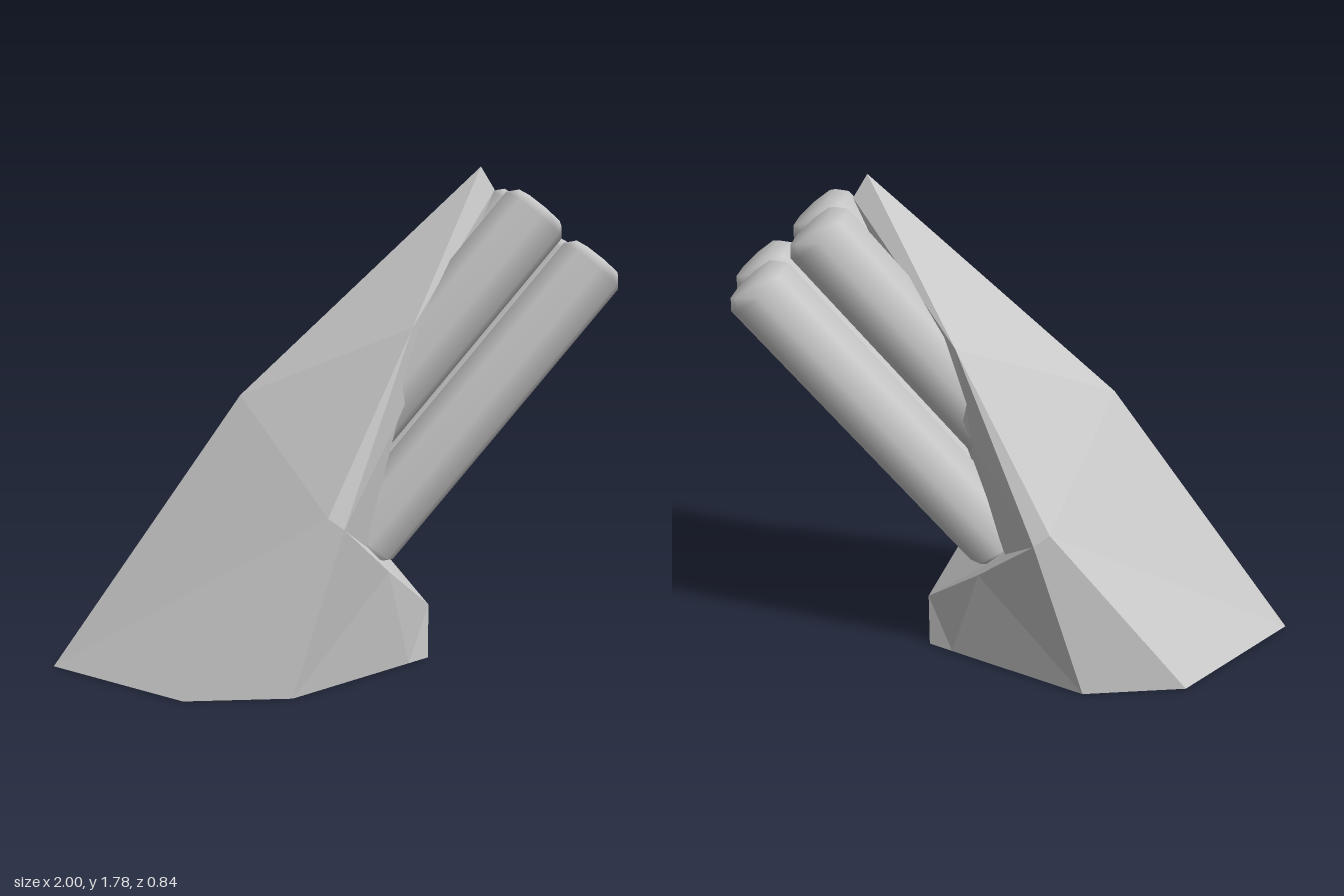
import * as THREE from 'three';

// Corners of the faceted housing on its +z half (z = 0 lies on the mirror plane)
const P = {
  tail: [-1, 0, 0], baseBack: [-0.53, 0, 0.42], baseFront: [-0.16, 0, 0.42],
  baseSplit: [0.28, 0, 0.065], nose: [0.36, 0, 0], noseTop: [0.36, 0.2, 0],
  floorEdge: [0.19, 0.38, 0.21], shoulder: [-0.04, 0.62, 0.42], lip: [0.015, 0.58, 0.42],
  ridge: [-0.32, 0.98, 0], brow: [0.26, 1.24, 0.255], peak: [0.53, 1.78, 0],
  peakFront: [0.58, 1.7, 0], wallFoot: [0.1, 0.49, 0.28], wallFootMid: [0.1, 0.49, 0],
  wallSide: [0.21, 0.92, 0.26], wallMid: [0.245, 0.9, 0],
};

// Faces of the +z half, counter-clockwise from outside
const FACES = [
  'tail baseBack shoulder ridge',
  'ridge shoulder brow peak',
  'baseBack baseFront lip shoulder',
  'baseFront baseSplit floorEdge lip',
  'baseSplit nose noseTop floorEdge',
  'tail nose baseSplit baseFront baseBack',
  'wallFoot lip floorEdge noseTop wallFootMid',
  'shoulder lip brow',
  'brow peakFront peak',
  'lip wallFoot wallSide brow',
  'wallFoot wallFootMid wallMid wallSide',
  'wallSide wallMid peakFront brow',
];

function housingGeometry() {
  const pos = [];
  for (const face of FACES) {
    const pts = face.split(' ').map((n) => P[n]);
    for (let i = 1; i < pts.length - 1; i++) {
      const [a, b, c] = [pts[0], pts[i], pts[i + 1]];
      pos.push(...a, ...b, ...c);
      // mirrored copy with reversed winding
      for (const [x, y, z] of [a, c, b]) pos.push(x, y, -z);
    }
  }
  const g = new THREE.BufferGeometry();
  g.setAttribute('position', new THREE.Float32BufferAttribute(pos, 3));
  g.computeVertexNormals();
  return g;
}

// Eight-sided smooth tube with bevelled ends, from y = 0 to y = length
function tubeGeometry(length, r = 0.127, capR = 0.097, bevel = 0.035) {
  const profile = [
    [0, 0], [capR, 0], [r, bevel],
    [r, length - bevel], [capR, length], [0, length],
  ].map(([x, y]) => new THREE.Vector2(x, y));
  return new THREE.LatheGeometry(profile, 8);
}

export function createModel() {
  const model = new THREE.Group();
  const grey = new THREE.MeshStandardMaterial({ color: 0xcccccc });
  const flatGrey = new THREE.MeshStandardMaterial({ color: 0xcccccc, flatShading: true });

  const housing = new THREE.Mesh(housingGeometry(), flatGrey);
  housing.name = 'housing';
  model.add(housing);

  // Two pairs of tilted tubes, set in the recess
  const length = 1.3, tilt = 0.69;
  const geometry = tubeGeometry(length);
  const rows = [['upperTube', 0.715, 1.64], ['lowerTube', 0.92, 1.465]];
  for (const [name, topX, topY] of rows) {
    for (const side of [1, -1]) {
      const tube = new THREE.Mesh(geometry, grey);
      tube.name = name + (side > 0 ? 'Front' : 'Back');
      tube.rotation.z = -tilt;
      tube.position.set(topX - length * Math.sin(tilt), topY - length * Math.cos(tilt), side * 0.136);
      model.add(tube);
    }
  }
  return model;
}
